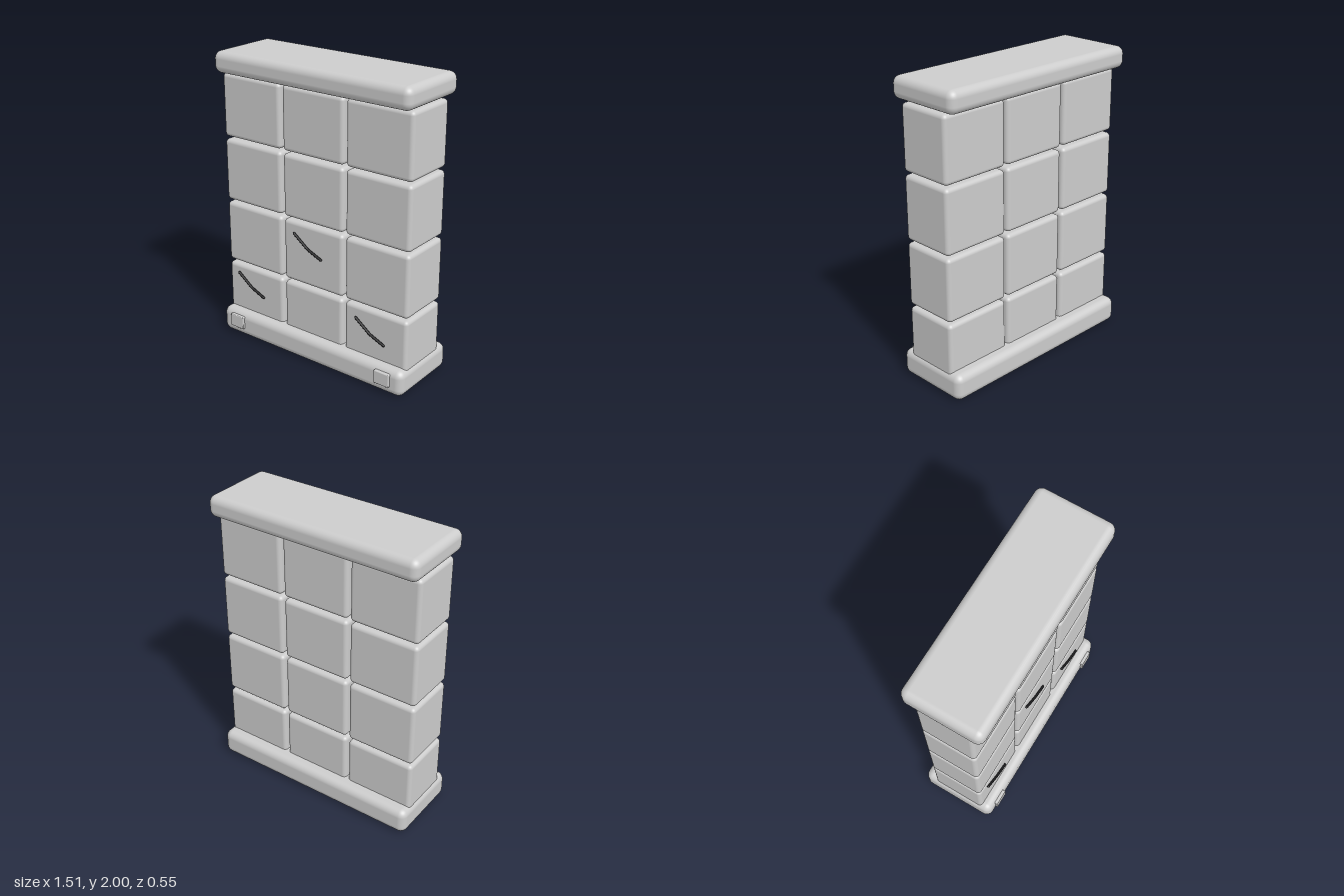
import * as THREE from 'three';
import { RoundedBoxGeometry } from 'three/addons/geometries/RoundedBoxGeometry.js';

export function createModel() {
  const group = new THREE.Group();
  const stone = new THREE.MeshStandardMaterial({ color: 0xcccccc });
  stone.name = 'paleStone';
  const dark = new THREE.MeshStandardMaterial({ color: 0x1c1c1e });
  dark.name = 'darkCrack';

  const add = (name, geometry, material, x = 0, y = 0, z = 0) => {
    const mesh = new THREE.Mesh(geometry, material);
    mesh.name = name;
    mesh.position.set(x, y, z);
    group.add(mesh);
  };

  // Rounded slabs above and below the wall
  add('base', new RoundedBoxGeometry(1.51, 0.18, 0.53, 4, 0.05), stone, 0, 0.09, -0.01);
  add('cap', new RoundedBoxGeometry(1.51, 0.145, 0.53, 4, 0.05), stone, 0, 1.9275, -0.01);

  // Wall of blocks with open joints, bottom row sunk into the base
  const block = new RoundedBoxGeometry(0.48, 0.428, 0.378, 4, 0.027);
  for (let row = 0; row < 4; row++) {
    for (let col = -1; col <= 1; col++) {
      add(`block_${row + 1}_${col + 2}`, block, stone, col * 0.5, 0.294 + row * 0.446, -0.004);
    }
  }

  // Small raised plates on the front of the base
  const plate = new RoundedBoxGeometry(0.114, 0.092, 0.04, 2, 0.006);
  for (const side of [-1, 1]) {
    add(side < 0 ? 'rightPlate' : 'leftPlate', plate, stone, side * 0.612, 0.107, 0.252);
  }

  // Bent cracks, each made of two thin bars
  const bends = [[-0.11, 0.074], [0, -0.009], [0.108, -0.055]];
  const cracks = [[-0.535, 0.373], [-0.035, 0.8], [0.465, 0.351]];
  for (const [cx, cy] of cracks) {
    for (let i = 0; i < 2; i++) {
      const a = new THREE.Vector3(...bends[i], 0);
      const b = new THREE.Vector3(...bends[i + 1], 0);
      const bar = new THREE.TubeGeometry(new THREE.LineCurve3(a, b), 1, 0.009, 8);
      add('crackBar', bar, dark, cx, cy, 0.192);
    }
    // Rounded ends and joint
    for (const [x, y] of bends) {
      add('crackJoint', new THREE.SphereGeometry(0.009, 8, 6), dark, cx + x, cy + y, 0.192);
    }
  }
  return group;
}
